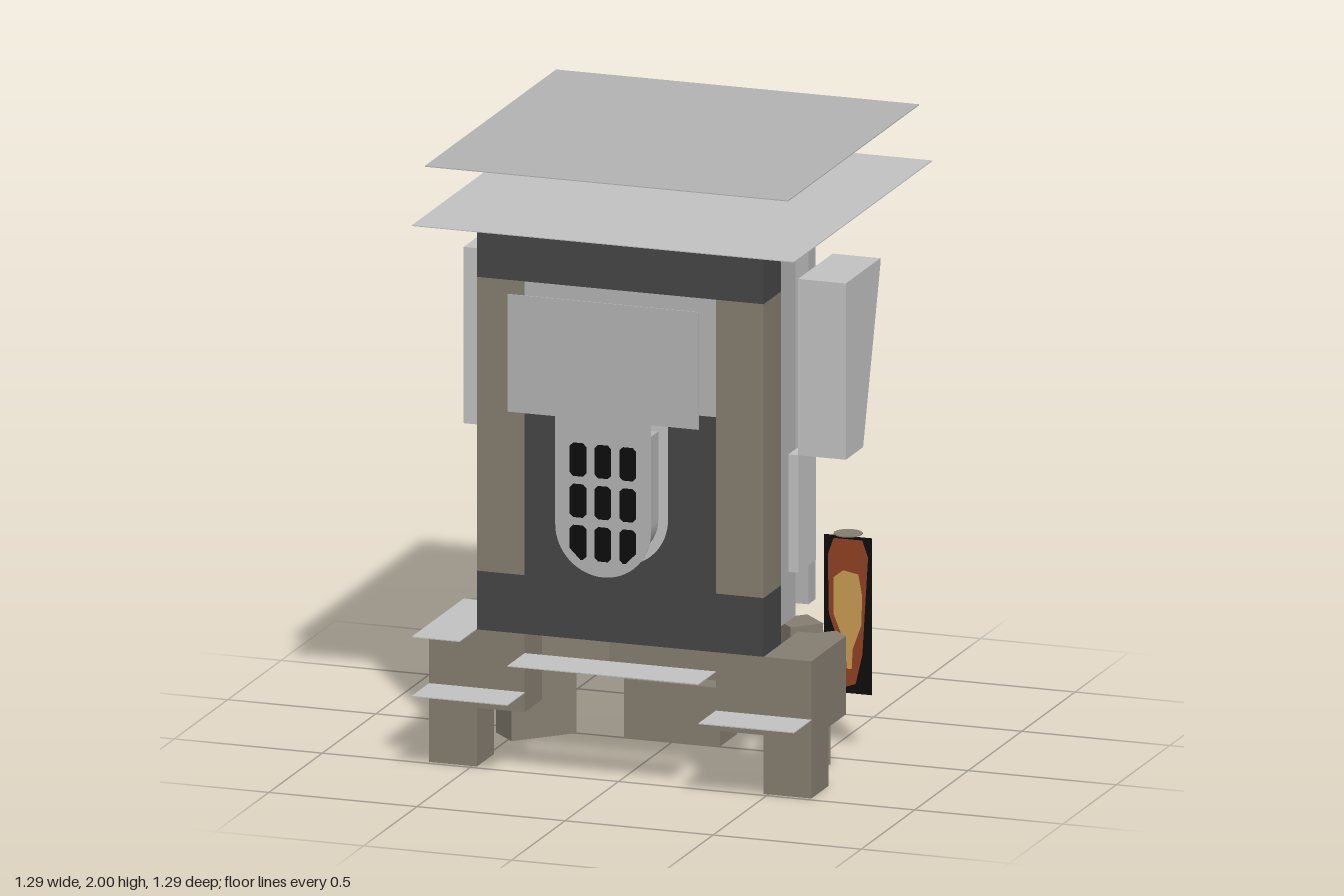
import * as THREE from 'three';

const mat = (name, color, side = THREE.FrontSide) => {
  const m = new THREE.MeshStandardMaterial({ color, side });
  m.name = name;
  return m;
};

export function createModel() {
  const dark = mat('darkStone', 0x454545);
  const taupe = mat('taupeStone', 0x857d70);
  const grey = mat('greyMetal', 0xb3b3b3, THREE.DoubleSide);
  const light = mat('lightMetal', 0xc2c2c2, THREE.DoubleSide);
  const black = mat('black', 0x0c0c0c);
  const rust = mat('flameRust', 0x8e4022);
  const gold = mat('flameGold', 0xc89a52);

  // everything is laid out on a grid 62 units high
  const model = new THREE.Group();
  model.name = 'shrine';
  const add = (name, geo, material) => {
    const m = new THREE.Mesh(geo, material);
    m.name = name;
    model.add(m);
    return m;
  };
  const box = (name, m, x0, x1, y0, y1, z0, z1) => add(name,
    new THREE.BoxGeometry(x1 - x0, y1 - y0, z1 - z0)
      .translate((x0 + x1) / 2, (y0 + y1) / 2, (z0 + z1) / 2), m);
  const pair = (name, m, x0, x1, ...rest) => {
    box(name + 'Left', m, x0, x1, ...rest);
    box(name + 'Right', m, -x1, -x0, ...rest);
  };
  const poly = pts => new THREE.Shape(pts.map(p => new THREE.Vector2(p[0], p[1])));
  const extrude = (shape, depth) =>
    new THREE.ExtrudeGeometry(shape, { depth, bevelEnabled: false, curveSegments: 16 });
  const plate = (name, m, shape, z0, z1) => add(name, extrude(shape, z1 - z0).translate(0, 0, z0), m);
  // footprint given as [x, z], raised from y0 to y1
  const plan = (name, m, pts, y0, y1) => add(name,
    extrude(poly(pts.map(p => [p[0], -p[1]])), y1 - y0).rotateX(-Math.PI / 2).translate(0, y0, 0), m);
  const rect = (w, y0, y1) => poly([[-w, y0], [w, y0], [w, y1], [-w, y1]]);
  const frame = (name, m, w, y0, y1, t, z0, z1) => {
    const s = rect(w, y0, y1);
    s.holes.push(rect(w - t, y0 + t, y1 - t));
    plate(name, m, s, z0, z1);
  };
  // flat-topped outline with a round bottom
  const arch = (r, top, centre) => {
    const s = new THREE.Shape();
    s.moveTo(r, top);
    s.lineTo(-r, top);
    s.lineTo(-r, centre);
    s.absarc(0, centre, r, Math.PI, Math.PI * 2, false);
    s.lineTo(r, top);
    return s;
  };

  // roof sheets
  box('upperRoof', grey, -19, 19, 61.9, 62, -19, 19);
  box('lowerRoof', light, -20, 20, 56.01, 56.1, -20, 20);

  // front body: header, pillars and sill, hollow behind
  box('header', dark, -15, 15, 50, 56, 10, 15);
  box('sill', dark, -15, 15, 14, 20, 14.7, 15);
  pair('sillSide', dark, 14.7, 15, 14, 20, 10, 14.7);
  pair('pillarFront', taupe, 10, 15, 20, 50, 14.7, 15);
  pair('pillarSide', taupe, 14.7, 15, 20, 50, 10, 14.7);
  box('backPanel', grey, -10, 10, 38, 50, 14.7, 15);
  const wall = rect(10, 20, 38);
  wall.holes.push(arch(5, 37.99, 27));
  plate('frontWall', dark, wall, 14.7, 15);
  const rim = arch(5, 38, 27);
  rim.holes.push(arch(4, 36, 27));
  plate('archRim', light, rim, 14.7, 15.05);

  // projecting window
  const tunnel = arch(4, 36, 27);
  tunnel.holes.push(arch(3.8, 35.8, 27));
  plate('windowTunnel', grey, tunnel, 15, 19.9);
  plate('windowPlate', grey, arch(5, 38, 27), 19.9, 20);
  box('frontPanel', grey, -10, 10, 38, 50, 19.9, 20);
  for (const x of [-2.6, 0, 2.6]) {
    [[32.1, 35.5], [27.9, 31.3], [23.6, 27.1]].forEach(([y0, y1], row) => {
      const w = 0.86, c = 0.35;
      // outer panes of the lowest row are cut to follow the arch
      const l = row === 2 && x < 0 ? 1.1 : c, r = row === 2 && x > 0 ? 1.1 : c;
      plate('windowPane', black, poly([[x - w + l, y0], [x + w - r, y0], [x + w, y0 + r],
        [x + w, y1 - c], [x + w - c, y1], [x - w + c, y1], [x - w, y1 - c], [x - w, y0 + l]]),
      19.84, 20.06);
    });
  }

  // stepped rear shell and doorway
  frame('shell', grey, 14, 15, 54, 1.5, 3, 10);
  frame('innerFrame', taupe, 13.4, 17, 53.6, 1.8, 2, 3);
  frame('rearFrame', grey, 15, 16, 54, 2, 0, 2);

  // side wings with a sloping back
  for (const s of [1, -1]) {
    const wing = extrude(poly([[-5, 32], [0, 32], [5, 49.3], [5, 50], [-5, 50]]), 5)
      .rotateY(Math.PI / 2).translate(s > 0 ? 15 : -20, 0, 0);
    add('wing', wing, light);
  }
  pair('wingBracket', light, 14, 15.05, 20, 32, -0.03, 5);

  // base
  pair('baseFront', taupe, 10, 20, 6, 14, 10, 15);
  pair('baseSide', taupe, 15, 20, 6, 14, 5, 10);
  pair('frontLeg', taupe, 15, 20, 0, 6, 10, 15);
  box('baseRear', taupe, -10, 10, 6, 14, -5, -2.5);
  box('rearLeg', taupe, -5, 5, 0, 6, -5, 0);
  for (const s of [1, -1]) {
    const slant = (name, t0, t1, y0, y1) => {
      const p = t => [10 + 10 * t, -5 + 10 * t];
      const [a, b] = [p(t0), p(t1)];
      plan(name, taupe, [a, b, [b[0] - 2.5, b[1] + 2.5], [a[0] - 2.5, a[1] + 2.5]]
        .map(q => [q[0] * s, q[1]]), y0, y1);
    };
    slant('baseCorner', 0, 1, 6, 13);
    slant('cornerLeg', 0.25, 0.75, 0, 6);
    for (const [t0, t1] of [[0, 0.16], [0.37, 0.63], [0.84, 1]]) slant('merlon', t0, t1, 13, 14);
  }

  // thin ledges
  box('middleLedge', light, -10, 10, 11.95, 12.05, 15, 20);
  pair('lowLedge', light, 10, 20, 7.95, 8.05, 15, 20);
  box('sideLedge', light, -20, -15, 14, 14.1, 5, 20);

  // flame panels with a small disc above
  const rustPts = [[0.5, 8], [0.4, 14], [1, 15.7], [4, 15.7], [4.6, 14], [4.3, 9],
    [4, 4], [3.3, 1], [2.2, 0.6], [2, 3], [1.2, 6]];
  const goldPts = [[1, 11.7], [2, 12.5], [3.6, 12.2], [4, 10], [3.9, 7], [3, 4.5],
    [2.9, 2.5], [2.4, 2.5], [2.2, 5], [1, 8]];
  for (const x of [15, -20]) {
    const layer = (name, m, pts, t) =>
      plate(name, m, poly(pts.map(p => [x + p[0], 6 + p[1]])), -2.6 - t, -2.6 + t);
    layer('flamePanel', black, [[0, 0], [5, 0], [5, 16], [0, 16]], 0.04);
    layer('flameOuter', rust, rustPts, 0.08);
    layer('flameInner', gold, goldPts, 0.12);
    add('flameDisc', new THREE.CylinderGeometry(1.45, 1.45, 0.1, 16).translate(x + 2.5, 22.3, -2.6), taupe);
  }

  model.scale.setScalar(2 / 62);
  const root = new THREE.Group();
  root.name = 'model';
  root.add(model);
  return root;
}
